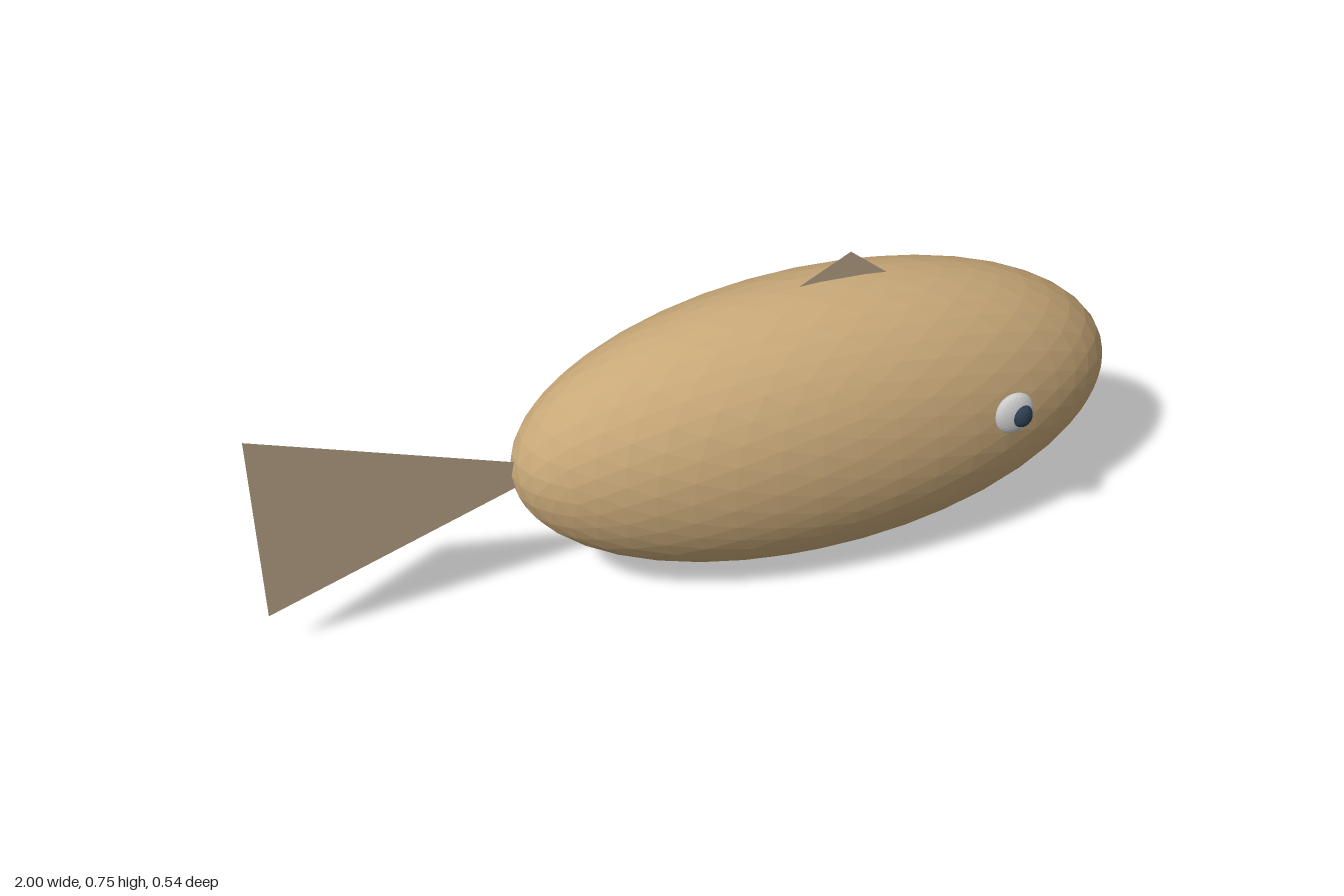
import * as THREE from 'three';

const material = (color, side = THREE.FrontSide) =>
  new THREE.MeshStandardMaterial({ color, side, flatShading: true });

// Faceted sphere stretched to three radii
function ellipsoid(name, mat, detail, center, radii) {
  const mesh = new THREE.Mesh(new THREE.IcosahedronGeometry(1, detail), mat);
  mesh.name = name;
  mesh.scale.set(...radii);
  mesh.position.set(...center);
  return mesh;
}

// Paper-thin fin in the plane z = 0
function fin(name, mat, corners) {
  const shape = new THREE.Shape(corners.map(([x, y]) => new THREE.Vector2(x, y)));
  const mesh = new THREE.Mesh(new THREE.ShapeGeometry(shape), mat);
  mesh.name = name;
  return mesh;
}

export function createModel() {
  const model = new THREE.Group();
  model.name = 'fish';

  const skin = material(0xc8a878);
  const finSkin = material(0xb09c80, THREE.DoubleSide);
  const eyeWhite = material(0xe4e4e4);
  const pupilDark = material(0x2c3e50);

  // Body
  model.add(ellipsoid('body', skin, 7, [0.28, 0.347, 0], [0.717, 0.345, 0.272]));

  // Tail and back fin, with their roots inside the body
  model.add(fin('tailFin', finSkin, [[-1, 0.11], [-0.33, 0.348], [-1, 0.59]]));
  model.add(fin('backFin', finSkin, [[0.1, 0.62], [0.52, 0.615], [0.35, 0.755]]));

  // An eye on each flank
  for (const side of [1, -1]) {
    const eye = new THREE.Group();
    eye.name = side > 0 ? 'frontEye' : 'backEye';
    eye.add(ellipsoid('eyeball', eyeWhite, 4, [0.66, 0.402, 0.235 * side], [0.047, 0.054, 0.021]));
    eye.add(ellipsoid('pupil', pupilDark, 3, [0.672, 0.402, 0.25 * side], [0.024, 0.029, 0.019]));
    model.add(eye);
  }

  return model;
}
